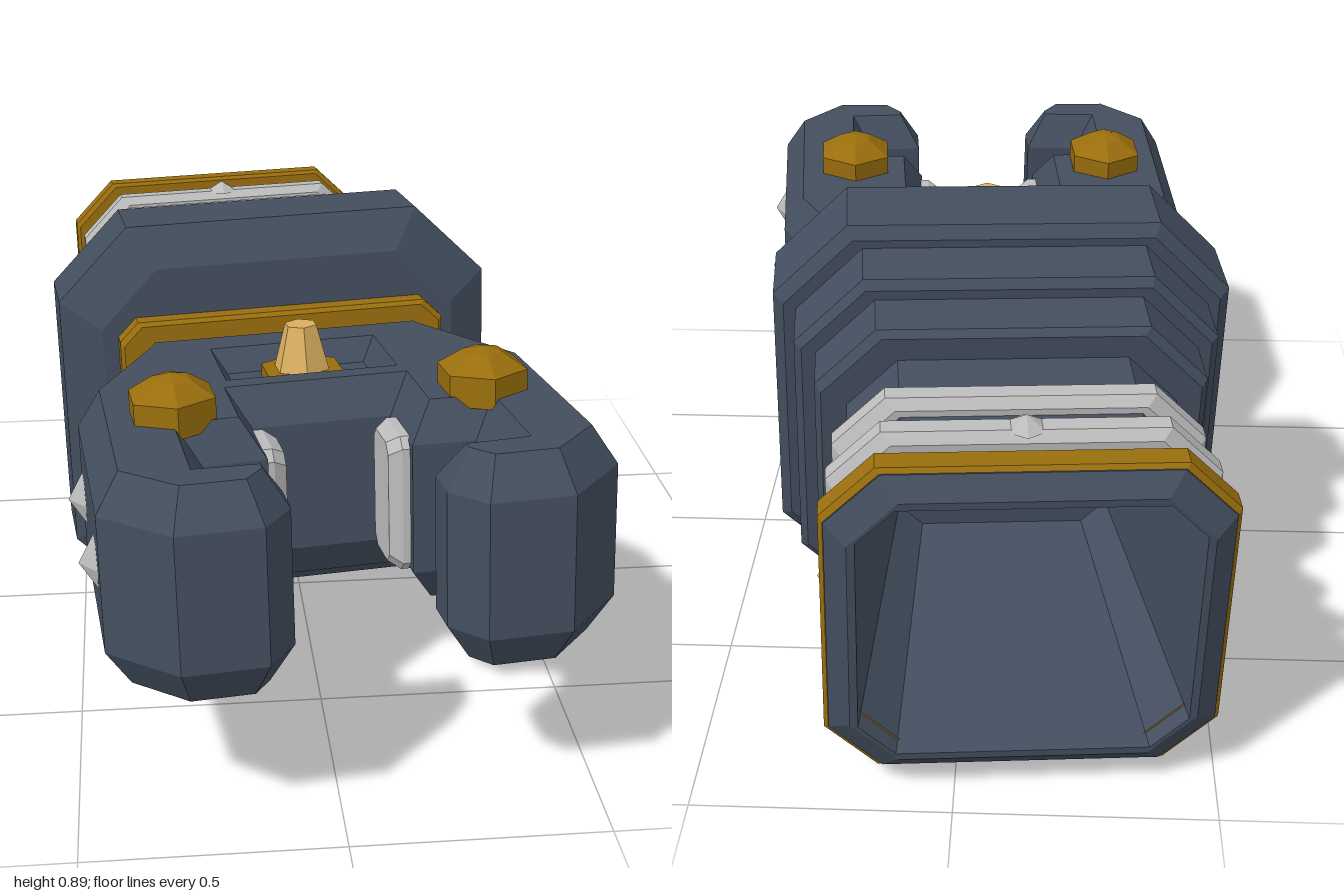
import * as THREE from 'three';

const paint = (name, color) => {
  const m = new THREE.MeshStandardMaterial({ color });
  m.name = name;
  return m;
};

// Hard-edged copy of a geometry
function flat(geo) {
  const g = geo.index ? geo.toNonIndexed() : geo;
  g.computeVertexNormals();
  return g;
}

// Chamfered rectangle cross-section, counter-clockwise seen from +z
function octagon([z, w, h, c]) {
  return [[w, c - h], [w, h - c], [w - c, h], [c - w, h], [-w, h - c], [-w, c - h], [c - w, -h], [w - c, -h]]
    .map(([x, y]) => [x, y, z]);
}

// Skin over sections [z, halfWidth, halfHeight, chamfer] running front to back
function loft(sections, capped = true) {
  const rows = sections.map(octagon);
  const pos = [];
  const tri = (...p) => p.forEach((v) => pos.push(...v));
  for (let j = 0; j < rows.length - 1; j++) {
    for (let i = 0; i < 8; i++) {
      const k = (i + 1) % 8;
      const [a, b, c, d] = [rows[j][i], rows[j][k], rows[j + 1][k], rows[j + 1][i]];
      tri(a, d, c);
      tri(a, c, b);
    }
  }
  if (capped) {
    const first = rows[0], last = rows[rows.length - 1];
    for (let i = 0; i < 8; i++) {
      const k = (i + 1) % 8;
      tri([0, 0, first[0][2]], first[i], first[k]);
      tri([0, 0, last[0][2]], last[k], last[i]);
    }
  }
  const g = new THREE.BufferGeometry();
  g.setAttribute('position', new THREE.Float32BufferAttribute(pos, 3));
  g.computeVertexNormals();
  return g;
}

// Bevelled band around the sleeve
function band(front, back, w, h, c, b, t) {
  return loft([
    [front, w - t, h - t, c], [front, w - b, h - b, c], [front - b, w, h, c],
    [back + b, w, h, c], [back, w - b, h - b, c], [back, w - t, h - t, c],
  ], false);
}

export function createModel() {
  const slate = paint('slate', 0x434e5e);
  const gold = paint('gold', 0x996e0d);
  const brass = paint('brass', 0xdbb060);
  const silver = paint('silver', 0xbcbcbc);

  const claw = new THREE.Group();
  claw.name = 'claw';
  const add = (name, geo, mat, x = 0, y = 0, z = 0) => {
    const m = new THREE.Mesh(geo, mat);
    m.name = name;
    m.position.set(x, y, z);
    claw.add(m);
    return m;
  };

  // Stepped sleeve with a hollow back end
  add('sleeve', loft([
    [0.035, 0.39, 0.35, 0.125], [-0.015, 0.476, 0.435, 0.155], [-0.19, 0.476, 0.435, 0.155],
    [-0.21, 0.455, 0.41, 0.145],
    [-0.21, 0.43, 0.393, 0.14], [-0.34, 0.43, 0.393, 0.14], [-0.355, 0.415, 0.375, 0.13],
    [-0.355, 0.387, 0.355, 0.12], [-0.47, 0.387, 0.355, 0.12], [-0.485, 0.375, 0.342, 0.12],
    [-0.485, 0.325, 0.295, 0.1], [-0.87, 0.325, 0.295, 0.1], [-0.915, 0.365, 0.337, 0.1],
    [-0.925, 0.365, 0.337, 0.1], [-0.955, 0.325, 0.297, 0.09], [-0.955, 0.31, 0.282, 0.07],
    [-0.35, 0.22, 0.2, 0.05],
  ]), slate);

  // Bands round the sleeve
  add('frontBand', band(-0.612, -0.684, 0.352, 0.326, 0.1, 0.018, 0.04), silver);
  add('middleBand', band(-0.735, -0.807, 0.362, 0.334, 0.1, 0.018, 0.045), silver);
  add('rearBand', band(-0.862, -0.922, 0.374, 0.345, 0.1, 0.008, 0.055), gold);

  // Collar between sleeve and claw
  add('collar', loft([
    [0.085, 0.348, 0.238, 0.04], [0.075, 0.356, 0.246, 0.04], [0.01, 0.356, 0.246, 0.04],
  ]), gold);

  // Palm and two hooked fingers from one mirrored outline
  const half = [
    [0.32, 0.06], [0.335, 0.11], [0.475, 0.375], [0.482, 0.85], [0.36, 0.975], [0.2, 0.975], [0.142, 0.9],
    [0.142, 0.82], [0.265, 0.815], [0.265, 0.665], [0.14, 0.66], [0.14, 0.485],
  ];
  const outline = [...half, ...half.map(([x, z]) => [-x, z]).reverse()];
  const shape = new THREE.Shape(outline.map(([x, z]) => new THREE.Vector2(x, z)));
  shape.holes.push(new THREE.Path(
    [[-0.13, 0.23], [-0.13, 0.35], [0.13, 0.35], [0.13, 0.23]].map(([x, z]) => new THREE.Vector2(x, z))));
  const bevel = 0.075, depth = 0.267;
  const hand = new THREE.ExtrudeGeometry(shape, {
    depth, bevelEnabled: true, bevelThickness: bevel, bevelSize: 0.046, bevelOffset: -0.046, bevelSegments: 1,
  });
  hand.translate(0, 0, -depth / 2);
  hand.rotateX(Math.PI / 2);
  add('palmAndFingers', flat(hand), slate);
  add('recessFloor', new THREE.BoxGeometry(0.3, 0.32, 0.16), slate, 0, 0, 0.29);

  // Tapered peg in its hexagonal seat
  add('pegSeat', flat(new THREE.CylinderGeometry(0.09, 0.09, 0.03, 6)), gold, 0, 0.17, 0.285);
  add('peg', flat(new THREE.CylinderGeometry(0.034, 0.064, 0.11, 6)), brass, 0, 0.224, 0.285);

  // Domed hexagonal bolts above and below each finger
  const boltShape = flat(new THREE.LatheGeometry(
    [[0.09, -0.02], [0.09, 0.042], [0.04, 0.074], [0, 0.084]].map(([x, y]) => new THREE.Vector2(x, y)), 6));

  // Pointed studs facing a given direction, seated at their base
  const studShape = flat(new THREE.ConeGeometry(0.054, 0.034, 6).translate(0, 0.012, 0));
  const up = new THREE.Vector3(0, 1, 0);
  const stud = (name, x, y, z, dx, dy, size = 1) => {
    const m = add(name, studShape, silver, x, y, z);
    m.quaternion.setFromUnitVectors(up, new THREE.Vector3(dx, dy, 0));
    m.scale.setScalar(size);
  };

  for (const s of [-1, 1]) {
    const side = s > 0 ? 'left' : 'right';
    add(side + 'TopBolt', boltShape, gold, s * 0.305, 0.208, 0.567);
    add(side + 'BottomBolt', boltShape, gold, s * 0.305, -0.148, 0.567).rotation.x = Math.PI;

    // Grip pad on the inner side of the finger
    const pad = loft([[0.025, 0.06, 0.125, 0.02], [0, 0.075, 0.14, 0.02], [-0.03, 0.075, 0.14, 0.02]]);
    add(side + 'GripPad', pad, silver, s * 0.125, 0, 0.567).rotation.y = -s * Math.PI / 2;

    stud(side + 'RearFingerStud', s * 0.479, 0.003, 0.437, s, 0);
    stud(side + 'FrontFingerStud', s * 0.483, 0.003, 0.748, s, 0);
    stud(side + 'BandStud', s * 0.361, 0, -0.771, s, 0, 0.75);
    stud(s > 0 ? 'topBandStud' : 'bottomBandStud', 0, s * 0.333, -0.771, 0, s, 0.75);
  }

  // Slight turn, upward tilt and roll of the whole claw
  claw.rotation.set(-0.075, 0.1, 0.015, 'YXZ');

  const model = new THREE.Group();
  model.name = 'model';
  model.add(claw);

  // Stand on the ground, centred
  model.updateMatrixWorld(true);
  const box = new THREE.Box3().setFromObject(model, true);
  const mid = box.getCenter(new THREE.Vector3());
  claw.position.set(-mid.x, -box.min.y, -mid.z);
  return model;
}
